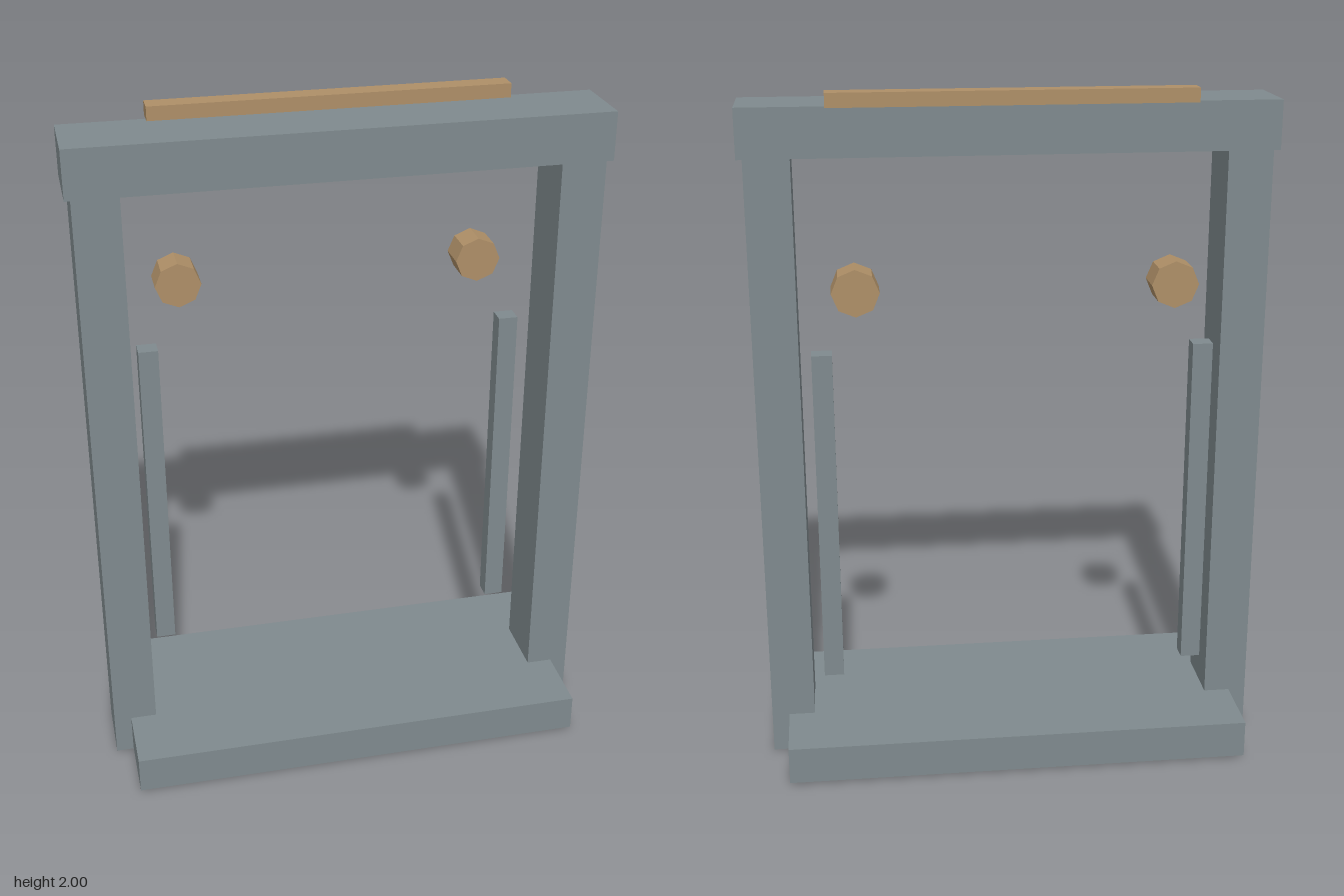
import * as THREE from 'three';

export function createModel() {
  const model = new THREE.Group();
  model.name = 'gateFrame';

  const stone = new THREE.MeshStandardMaterial({ color: 0x7f8a8e });
  stone.name = 'greyStone';
  const wood = new THREE.MeshStandardMaterial({ color: 0xae8f67 });
  wood.name = 'tanWood';
  wood.flatShading = true;

  const add = (name, geometry, material, x, y, z) => {
    const mesh = new THREE.Mesh(geometry, material);
    mesh.name = name;
    mesh.position.set(x, y, z);
    model.add(mesh);
  };
  const box = (name, material, [w, h, d], [x, y, z]) =>
    add(name, new THREE.BoxGeometry(w, h, d), material, x, y, z);

  // Base slab, lintel and the trim along the lintel's rear edge
  box('baseSlab', stone, [1.374, 0.112, 0.616], [0, 0.064, 0]);
  box('lintel', stone, [1.51, 0.14, 0.216], [0, 1.89, 0]);
  box('topTrim', wood, [1.022, 0.04, 0.06], [0, 1.98, -0.114]);

  // Octagonal stud lying along z, with a corner at the top
  const studGeometry = new THREE.CylinderGeometry(0.067, 0.067, 0.09, 8);
  studGeometry.rotateX(Math.PI / 2);

  // Mirrored posts, rear rails and rear studs
  for (const [side, s] of [['left', 1], ['right', -1]]) {
    box(side + 'Post', stone, [0.129, 1.82, 0.194], [s * 0.674, 0.91, 0]);
    box(side + 'Rail', stone, [0.058, 1.0, 0.054], [s * 0.545, 0.775, -0.124]);
    add(side + 'Stud', studGeometry, wood, s * 0.446, 1.465, -0.16);
  }
  return model;
}
